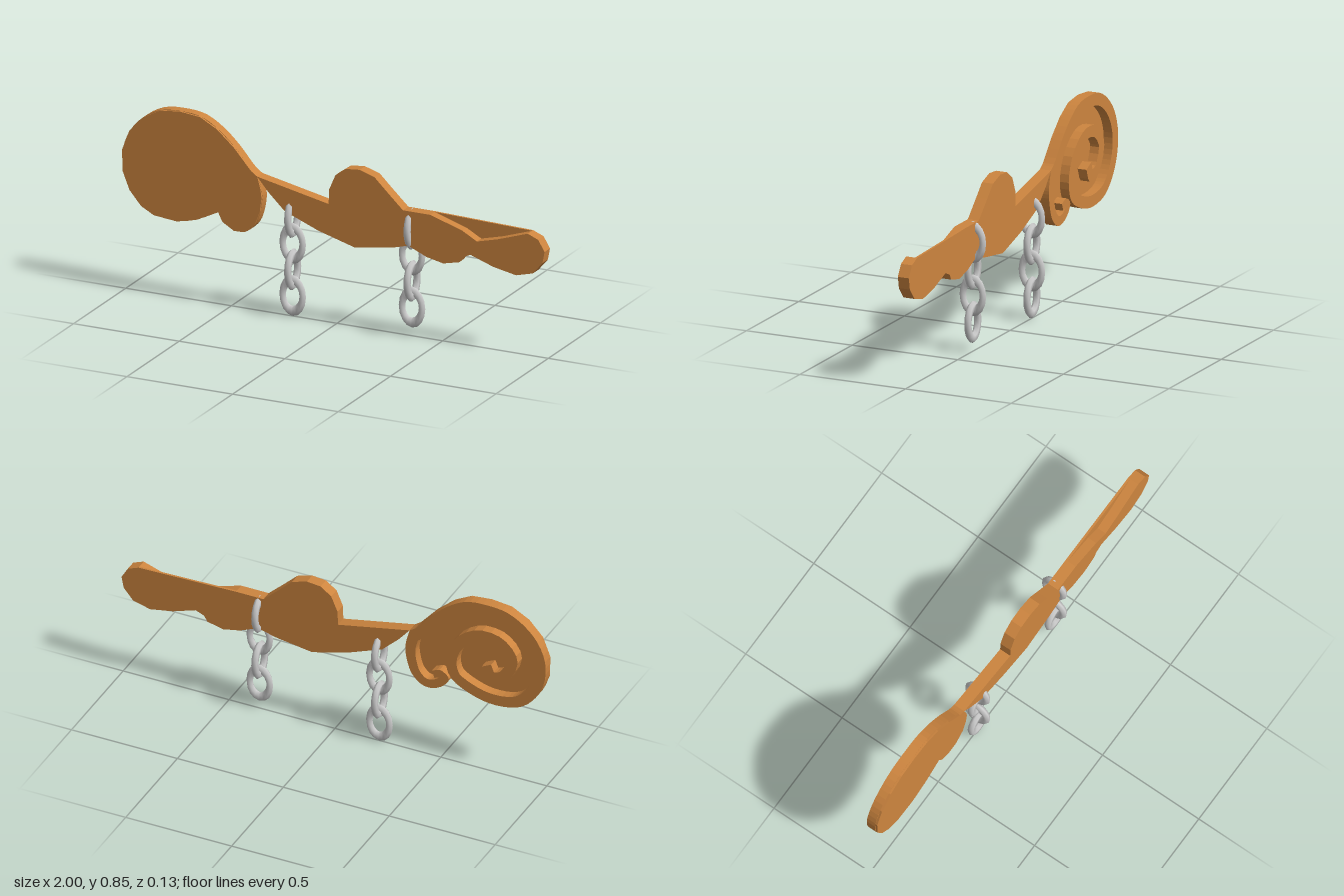
import * as THREE from 'three';

const wood = new THREE.MeshStandardMaterial({ color: 0xcd853f, side: THREE.DoubleSide });
const metal = new THREE.MeshStandardMaterial({ color: 0xcccccc });
const BACK = -0.016, FRONT = 0.036;

const vec = (pts) => pts.map(([x, y]) => new THREE.Vector2(x, y));

// Flat plate of a given outline between two depths
function plate(name, points, z0, z1) {
  const geo = new THREE.ExtrudeGeometry(new THREE.Shape(points), { depth: z1 - z0, bevelEnabled: false });
  geo.translate(0, 0, z0);
  const mesh = new THREE.Mesh(geo, wood);
  mesh.name = name;
  return mesh;
}

// Tapering strip that follows a path; a positive width lies on the path's left
function band(name, pts, w0, w1, z0, z1) {
  const curve = new THREE.CatmullRomCurve3(pts.map(([x, y]) => new THREE.Vector3(x, y, 0)), false, 'centripetal');
  const outer = [], inner = [], n = pts.length * 3;
  for (let i = 0; i <= n; i++) {
    const p = curve.getPoint(i / n), t = curve.getTangent(i / n);
    const w = THREE.MathUtils.lerp(w0, w1, i / n);
    outer.push(new THREE.Vector2(p.x, p.y));
    inner.push(new THREE.Vector2(p.x - t.y * w, p.y + t.x * w));
  }
  return plate(name, outer.concat(inner.reverse()), z0, z1);
}

// Hanging chain of oval links, alternately turned a quarter
function chain(name, x, bottom) {
  const group = new THREE.Group();
  group.name = name;
  const geo = new THREE.TorusGeometry(0.0475, 0.0155, 6, 16);
  geo.scale(1, 1.47, 1);
  for (let i = 0; i < 4; i++) {
    const link = new THREE.Mesh(geo, metal);
    link.name = 'chainLink';
    link.position.set(x, bottom + 0.0925 + i * 0.1175, 0);
    link.rotation.y = i % 2 ? Math.PI / 2 : 0;
    group.add(link);
  }
  return group;
}

export function createModel() {
  const model = new THREE.Group();
  model.name = 'scrollBracket';

  // Outer edges of the large scroll and the small curl beside it
  const tip = [-0.36, 0.615];
  const scroll = [tip, [-0.39, 0.636], [-0.47, 0.727], [-0.55, 0.797], [-0.63, 0.84], [-0.725, 0.85],
    [-0.82, 0.84], [-0.9, 0.797], [-0.965, 0.727], [-1, 0.636], [-0.997, 0.54], [-0.965, 0.46],
    [-0.91, 0.396], [-0.85, 0.364], [-0.74, 0.353], [-0.645, 0.376]];
  const curl = [tip, [-0.345, 0.56], [-0.34, 0.52], [-0.348, 0.46], [-0.372, 0.396], [-0.42, 0.355],
    [-0.47, 0.353], [-0.525, 0.385], [-0.545, 0.425]];
  const spiral = [[-0.555, 0.43], [-0.53, 0.52], [-0.57, 0.63], [-0.68, 0.71], [-0.8, 0.7],
    [-0.87, 0.61], [-0.82, 0.49], [-0.73, 0.47], [-0.7, 0.53]];

  model.add(plate('scrollFace', vec([...scroll, ...curl.slice(1).reverse()]), 0.026, FRONT));
  model.add(band('scrollSpiral', [...scroll, ...spiral], 0.055, 0.05, BACK, 0.027));
  model.add(band('smallCurl', [...curl, [-0.505, 0.455], [-0.465, 0.44]], -0.05, -0.035, BACK, 0.027));

  // Stem with the round knob, ending in a leaf
  const hollow = [[0.92, 0.56], [0.78, 0.513], [0.68, 0.487], [0.61, 0.525], [0.46, 0.572]];
  const stem = [tip, [-0.31, 0.556], [-0.23, 0.48], [-0.07, 0.417], [0.1, 0.369], [0.275, 0.395],
    [0.355, 0.417], [0.44, 0.38], [0.52, 0.363], [0.595, 0.38], [0.61, 0.406], [0.65, 0.422],
    [0.757, 0.385], [0.865, 0.364], [0.945, 0.385], [0.99, 0.438], [1, 0.49], [0.97, 0.54],
    ...hollow, [0.33, 0.572], [0.25, 0.647], [0.195, 0.7], [0.125, 0.722], [0.06, 0.716], [0.01, 0.68],
    [-0.02, 0.61], [-0.022, 0.545]];
  model.add(plate('stem', vec(stem), BACK, FRONT));

  // Recessed web between the stem and the leaf
  model.add(plate('leafWeb', vec(hollow), BACK, -0.006));

  model.add(chain('rightChain', -0.21, 0.0));
  model.add(chain('leftChain', 0.355, 0.037));
  return model;
}
